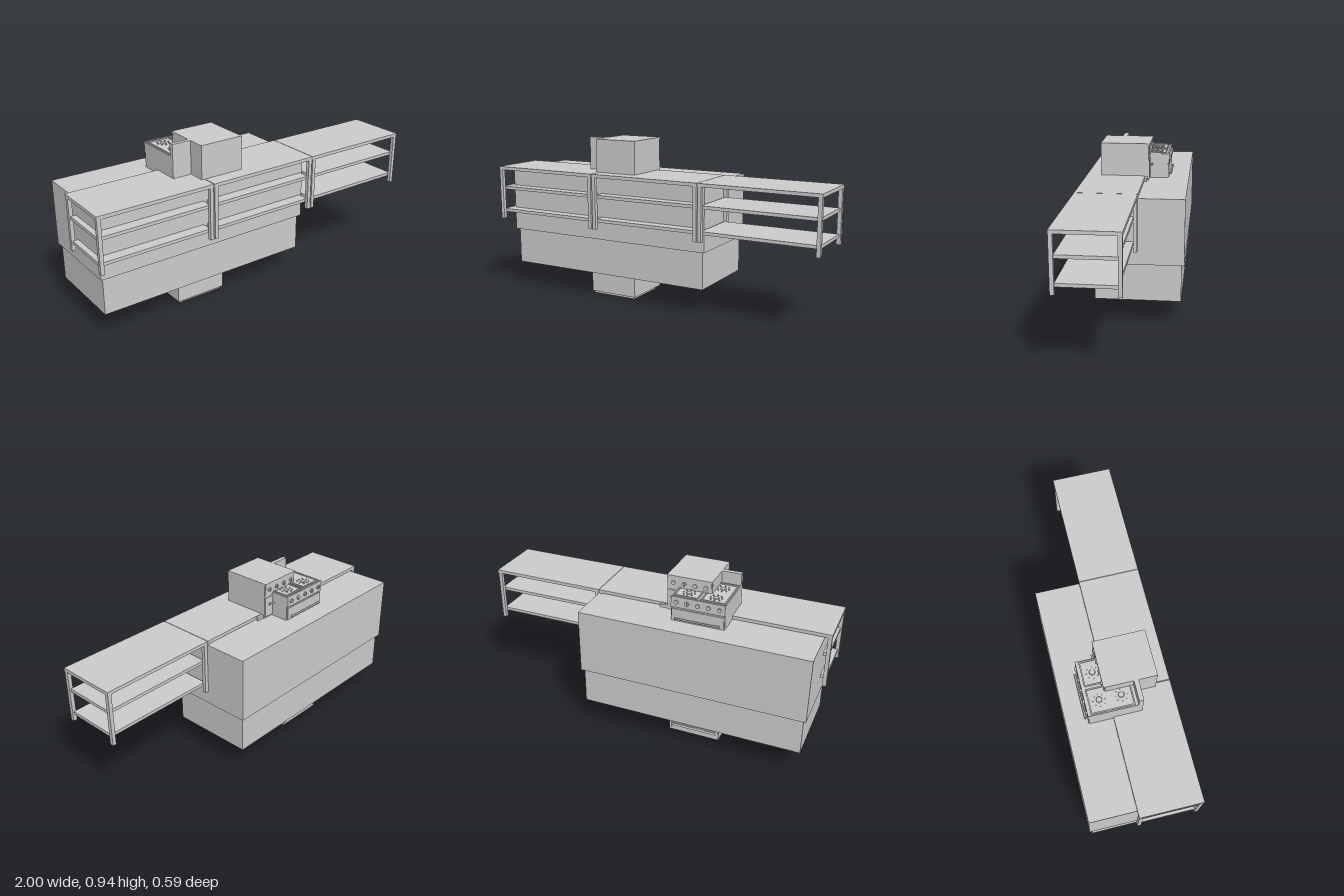
import * as THREE from 'three';

const mat = new THREE.MeshStandardMaterial({ color: 0xcccccc, flatShading: true, side: THREE.DoubleSide });

function add(parent, name, geo, x = 0, y = 0, z = 0) {
  const m = new THREE.Mesh(geo, mat);
  m.name = name;
  m.position.set(x, y, z);
  parent.add(m);
  return m;
}

// box given by its limits on each axis
function block(parent, name, x0, x1, y0, y1, z0, z1) {
  return add(parent, name, new THREE.BoxGeometry(x1 - x0, y1 - y0, z1 - z0),
    (x0 + x1) / 2, (y0 + y1) / 2, (z0 + z1) / 2);
}

function group(parent, name) {
  const g = new THREE.Group();
  g.name = name;
  parent.add(g);
  return g;
}

// horizontal or forward pointing round rod
function rod(parent, name, r, len, x, y, z, axis) {
  const m = add(parent, name, new THREE.CylinderGeometry(r, r, len, 14), x, y, z);
  if (axis === 'x') m.rotation.z = Math.PI / 2;
  else m.rotation.x = Math.PI / 2;
}

// work table with two shelves and four square legs
function table(parent, x0, x1) {
  const t = group(parent, 'workTable'), leg = 0.021;
  block(t, 'tableTop', x0, x1, 0.731, 0.75, -0.045, 0.293);
  for (const y of [0.612, 0.475]) block(t, 'shelf', x0 + 0.01, x1 - 0.01, y, y + 0.018, -0.024, 0.273);
  for (const x of [x0 + 0.002, x1 - leg - 0.002])
    for (const z of [-0.043, 0.272]) block(t, 'tableLeg', x, x + leg, 0.437, 0.731, z, z + leg);
}

// quads joining two rectangular rings: [x0, x1, z0, z1, y]
function skirt(a, b) {
  const ring = ([x0, x1, z0, z1, y]) => [[x0, y, z0], [x1, y, z0], [x1, y, z1], [x0, y, z1]];
  const A = ring(a), B = ring(b), p = [];
  for (let i = 0; i < 4; i++) {
    const j = (i + 1) % 4;
    for (const v of [A[i], B[i], B[j], A[i], B[j], A[j]]) p.push(...v);
  }
  const g = new THREE.BufferGeometry();
  g.setAttribute('position', new THREE.Float32BufferAttribute(p, 3));
  g.computeVertexNormals();
  return g;
}

// rear control panel with a row of knobs
function controls(parent, x0, x1, y0, y1, z, count) {
  block(parent, 'controlPanel', x0, x1, y0, y1, z - 0.005, z + 0.004);
  for (let i = 0; i < count; i++) {
    const x = x0 + (x1 - x0) * (i + 0.5) / count;
    rod(parent, 'knob', 0.012, 0.008, x, (y0 + y1) / 2, z - 0.008, 'z');
    block(parent, 'knobGrip', x - 0.003, x + 0.003, (y0 + y1) / 2 - 0.011, (y0 + y1) / 2 + 0.011, z - 0.014, z - 0.008);
  }
}

// oven door with a bar handle on two posts
function door(parent, x0, x1, y0, y1, z, handleY) {
  block(parent, 'ovenDoor', x0, x1, y0, y1, z - 0.004, z + 0.004);
  rod(parent, 'doorHandle', 0.005, x1 - x0 - 0.04, (x0 + x1) / 2, handleY, z - 0.015, 'x');
  for (const x of [x0 + 0.035, x1 - 0.035]) rod(parent, 'handlePost', 0.004, 0.016, x, handleY, z - 0.008, 'z');
}

export function createModel() {
  const model = new THREE.Group();
  model.name = 'kitchenCounter';

  // large upper casing, and hollow lower hood
  block(model, 'upperCasing', -0.96, 0.33, 0.36, 0.727, -0.295, 0.208);
  const hood = group(model, 'lowerHood');
  const rim = [-0.945, 0.315, -0.28, 0.193, 0.15];
  add(hood, 'hoodWalls', skirt([-0.945, 0.315, -0.28, 0.193, 0.36], rim));
  add(hood, 'hoodLining', skirt(rim, [-0.925, 0.295, -0.27, 0.025, 0.325]));
  block(hood, 'hoodCeiling', -0.925, 0.295, 0.325, 0.335, -0.27, 0.025);
  for (const x of [-0.8, -0.684, 0.008, 0.128])
    add(hood, 'hoodPeg', new THREE.CylinderGeometry(0.015, 0.015, 0.12, 8), x, 0.26, 0.055);

  // row of three tables
  table(model, -1, -0.337);
  table(model, -0.333, 0.327);
  table(model, 0.33, 1);

  // lower unit with louvred rear
  const lower = group(model, 'lowerUnit');
  block(lower, 'unitBase', -0.452, -0.175, 0, 0.013, -0.14, 0.108);
  block(lower, 'unitBody', -0.462, -0.165, 0.013, 0.33, -0.175, 0.117);
  for (let i = 0; i < 5; i++) {
    const s = block(lower, 'louvre', -0.445, -0.182, 0.045 + i * 0.022, 0.057 + i * 0.022, -0.181, -0.174);
    s.rotation.x = 0.25;
  }
  for (const x of [-0.458, -0.18]) block(lower, 'louvreFrame', x, x + 0.011, 0.03, 0.15, -0.181, -0.174);

  // cooking range
  const range = group(model, 'range');
  block(range, 'rangeBody', -0.465, -0.165, 0.727, 0.868, -0.172, 0.1);
  for (const [x0, x1] of [[-0.459, -0.322], [-0.308, -0.171]]) {
    for (const z of [-0.162, 0.064]) block(range, 'cooktopFrame', x0, x1, 0.866, 0.875, z, z + 0.007);
    for (const x of [x0, x1 - 0.007]) block(range, 'cooktopFrame', x, x + 0.007, 0.866, 0.875, -0.162, 0.071);
    for (const z of [-0.104, 0.012]) {
      const xc = (x0 + x1) / 2;
      add(range, 'burner', new THREE.CylinderGeometry(0.014, 0.017, 0.006, 16), xc, 0.87, z);
      for (let i = 0; i < 8; i++) {
        const a = i * Math.PI / 4;
        add(range, 'burnerStud', new THREE.CylinderGeometry(0.004, 0.004, 0.006, 8),
          xc + 0.032 * Math.cos(a), 0.87, z + 0.032 * Math.sin(a));
      }
    }
  }
  block(range, 'backguard', -0.465, -0.165, 0.727, 0.937, 0.085, 0.11);
  controls(range, -0.465, -0.165, 0.81, 0.872, -0.174, 5);
  door(range, -0.46, -0.17, 0.73, 0.8, -0.174, 0.747);

  // taller oven behind the range
  const oven = group(model, 'tallOven');
  block(oven, 'ovenBody', -0.355, -0.1, 0.727, 0.937, -0.065, 0.21);
  block(oven, 'ovenLip', -0.355, -0.1, 0.926, 0.937, -0.073, -0.06);
  controls(oven, -0.35, -0.105, 0.865, 0.925, -0.064, 4);
  door(oven, -0.35, -0.105, 0.735, 0.85, -0.066, 0.81);
  block(oven, 'sideStrip', -0.1, -0.055, 0.727, 0.745, -0.06, -0.045);

  return model;
}
